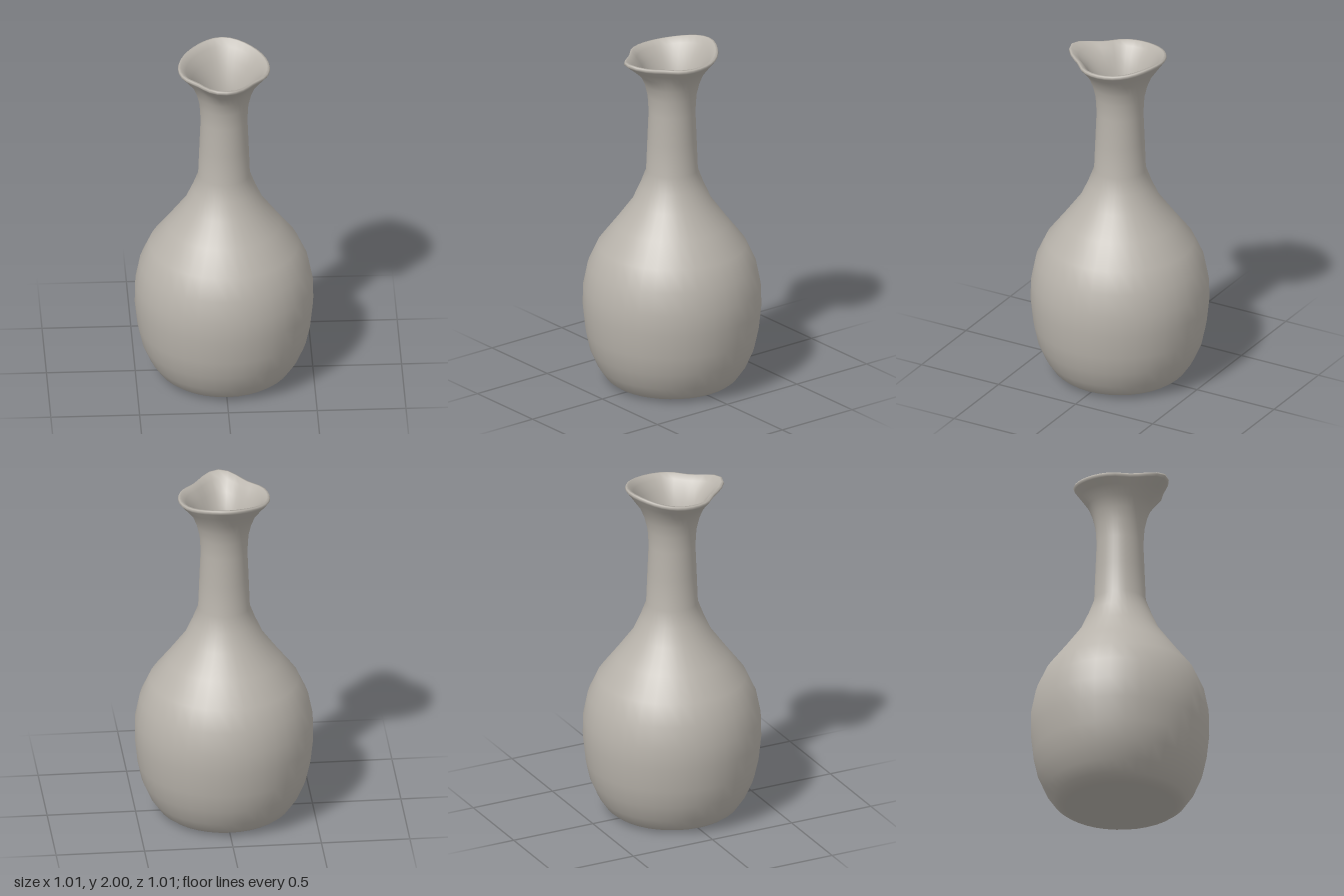
import * as THREE from 'three';

const SIDES = 36;

// Rings as [radius, height, amount of lip shaping], from the base up the outside and down the inside
const outer = [
  [0, 0, 0], [0.2, 0, 0], [0.31, 0, 0], [0.345, 0.012, 0], [0.375, 0.035, 0], [0.42, 0.1, 0],
  [0.464, 0.2, 0], [0.488, 0.31, 0], [0.503, 0.45, 0], [0.501, 0.57, 0], [0.475, 0.7, 0],
  [0.42, 0.82, 0], [0.32, 0.95, 0], [0.225, 1.08, 0], [0.18, 1.18, 0], [0.146, 1.27, 0],
  [0.139, 1.45, 0], [0.132, 1.62, 0], [0.138, 1.72, 0], [0.155, 1.79, 0.05], [0.18, 1.85, 0.2],
  [0.222, 1.9, 0.6], [0.252, 1.932, 0.95],
];
const lip = [[0.26, 1.943, 1], [0.256, 1.954, 1], [0.243, 1.956, 1]];
const inner = [
  [0.215, 1.93, 0.75], [0.178, 1.88, 0.4], [0.15, 1.82, 0.15], [0.12, 1.74, 0], [0.106, 1.62, 0],
  [0.106, 1.45, 0], [0.115, 1.27, 0], [0.195, 1.08, 0], [0.29, 0.95, 0], [0.39, 0.82, 0],
  [0.445, 0.7, 0], [0.471, 0.57, 0], [0.473, 0.45, 0], [0.458, 0.31, 0], [0.434, 0.2, 0],
  [0.39, 0.1, 0], [0.32, 0.04, 0], [0.2, 0.035, 0], [0, 0.035, 0],
];

// Smooth bump around an angle, used to shape the spout and the raised back
const bump = (a, centre, width) => {
  const d = Math.atan2(Math.sin(a - centre), Math.cos(a - centre));
  return Math.exp(-((d / width) ** 2));
};
const lipOut = (a) => 0.058 * bump(a, 0, 0.38) + 0.014 * bump(a, Math.PI, 0.4)
  - 0.018 * (bump(a, 0.75, 0.3) + bump(a, -0.75, 0.3));
const lipRise = (a) => 0.018 * bump(a, 0, 0.35) + 0.044 * bump(a, Math.PI, 0.9);

// Closed skin lofted through rings around the vertical axis
function loft(rings) {
  const positions = [];
  const index = [];
  rings.forEach(([r, y, w], i) => {
    for (let j = 0; j < SIDES; j++) {
      const a = (j / SIDES) * Math.PI * 2;
      const radius = r + w * lipOut(a);
      positions.push(Math.sin(a) * radius, y + w * lipRise(a), Math.cos(a) * radius);
      if (i === rings.length - 1) continue;
      const k = (j + 1) % SIDES;
      const p = i * SIDES + j, q = i * SIDES + k;
      if (r > 0) index.push(p, q, p + SIDES);
      if (rings[i + 1][0] > 0) index.push(q, q + SIDES, p + SIDES);
    }
  });
  const geometry = new THREE.BufferGeometry();
  geometry.setAttribute('position', new THREE.Float32BufferAttribute(positions, 3));
  geometry.setIndex(index);
  geometry.computeVertexNormals();
  return geometry;
}

export function createModel() {
  const group = new THREE.Group();
  group.name = 'vase';
  const clay = new THREE.MeshStandardMaterial({ color: 0xb8b3ab });
  clay.name = 'warm grey clay';

  // Body, neck, pinched lip and hollow inside in one continuous wall
  const body = new THREE.Mesh(loft([...outer, ...lip, ...inner]), clay);
  body.name = 'vaseBody';
  group.add(body);
  return group;
}
